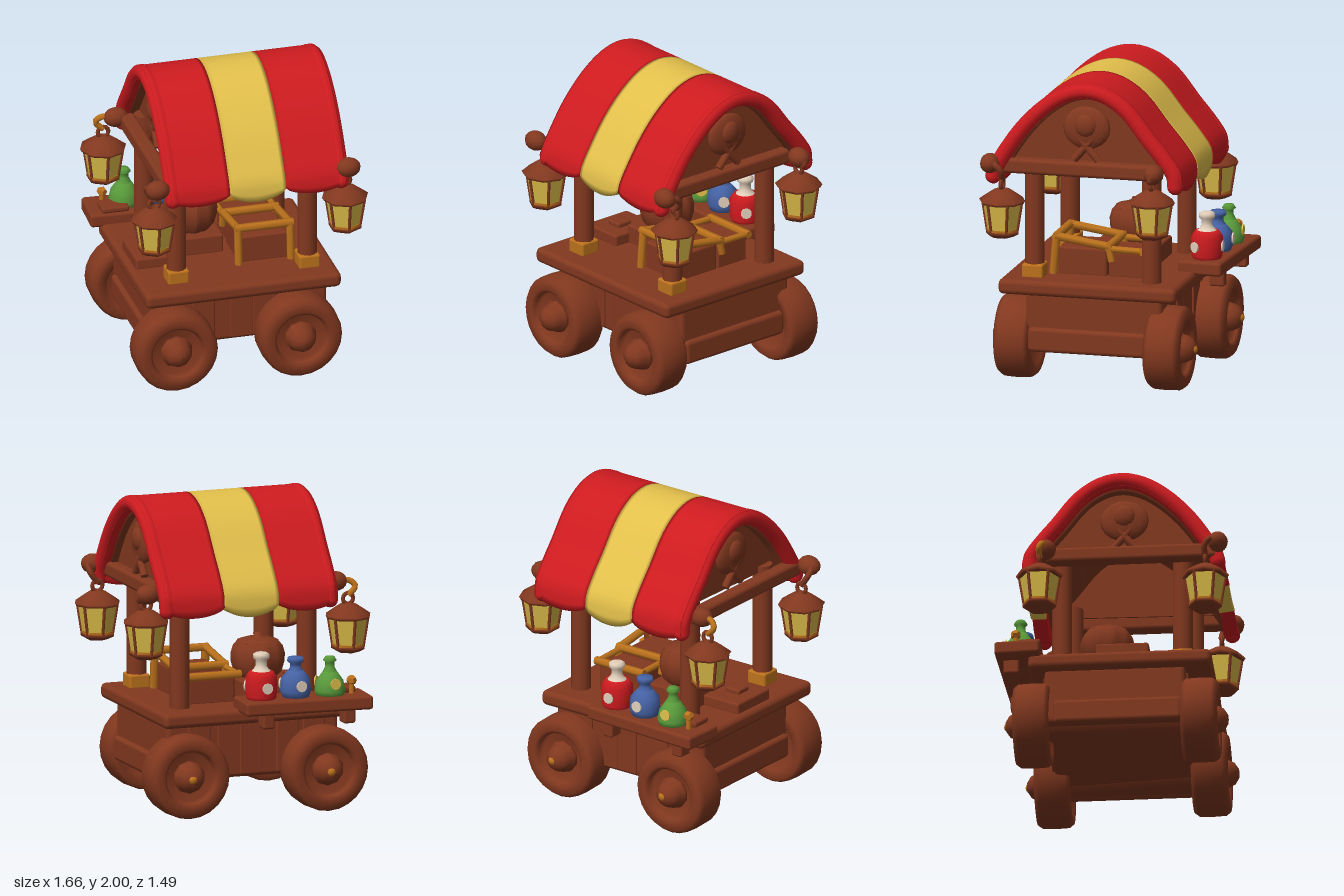
import * as THREE from 'three';
import { RoundedBoxGeometry } from 'three/addons/geometries/RoundedBoxGeometry.js';

const mat = (name, color) => {
  const m = new THREE.MeshStandardMaterial({ color });
  m.name = name;
  return m;
};

export function createModel() {
  const root = new THREE.Group();
  const wood = mat('brown wood', 0x82381f);
  const gold = mat('gold trim', 0xbc721c);
  const red = mat('red cloth', 0xcd1b1f);
  const yellow = mat('yellow cloth', 0xe2bf4b);
  const glow = mat('lantern glass', 0xdabb48);
  const cream = mat('cream', 0xe2cfba);
  const blue = mat('blue glass', 0x4562a4);
  const green = mat('green glass', 0x58993a);

  // Helpers
  const add = (name, geo, m, x = 0, y = 0, z = 0, parent = root) => {
    const mesh = new THREE.Mesh(geo, m);
    mesh.name = name;
    mesh.position.set(x, y, z);
    parent.add(mesh);
    return mesh;
  };
  const box = (name, m, [x0, x1], [y0, y1], [z0, z1], r = 0.015) =>
    add(name, new RoundedBoxGeometry(x1 - x0, y1 - y0, z1 - z0, 2, r), m, (x0 + x1) / 2, (y0 + y1) / 2, (z0 + z1) / 2);
  const lathe = (pts, seg = 20) =>
    new THREE.LatheGeometry(pts.map(([r, y]) => new THREE.Vector2(r, y)), seg);
  const rod = (name, m, a, b, r, parent = root, seg = 8) => {
    const A = new THREE.Vector3(...a), d = new THREE.Vector3(...b).sub(A);
    const mesh = add(name, new THREE.CylinderGeometry(r, r, d.length(), seg), m, 0, 0, 0, parent);
    mesh.position.copy(A).addScaledVector(d, 0.5);
    mesh.quaternion.setFromUnitVectors(new THREE.Vector3(0, 1, 0), d.normalize());
    return mesh;
  };

  // Cart body with plank seams and lower rails
  box('body', wood, [-0.62, 0.55], [0.23, 0.61], [-0.44, 0.46], 0.03);
  for (const x of [-0.45, -0.27, -0.02, 0.13, 0.33]) {
    for (const z of [-0.44, 0.46]) box('sidePlank', wood, [x - 0.075, x + 0.075], [0.25, 0.6], [z - 0.012, z + 0.012], 0.008);
  }
  for (const x of [-0.62, 0.55]) box('endRail', wood, [x - 0.03, x + 0.03], [0.22, 0.38], [-0.38, 0.44], 0.028);
  box('deck', wood, [-0.69, 0.6], [0.59, 0.69], [-0.54, 0.63], 0.035);

  // Wheels with dished faces and domed hubs
  const wheelGeo = lathe([[0, -0.06], [0.16, -0.06], [0.18, -0.11], [0.245, -0.115], [0.268, -0.085],
    [0.272, 0], [0.268, 0.085], [0.245, 0.115], [0.19, 0.12], [0.168, 0.1], [0.16, 0.055], [0, 0.05]], 24);
  const hubGeo = lathe([[0, 0.03], [0.105, 0.04], [0.105, 0.075], [0.092, 0.08], [0.09, 0.11], [0.07, 0.15], [0.03, 0.175], [0, 0.178]], 10);
  for (const [x, z] of [[-0.49, 0.55], [0.33, 0.55], [0.43, -0.46], [-0.49, -0.52]]) {
    const wheel = new THREE.Group();
    wheel.name = 'wheel';
    wheel.position.set(x, 0.272, z);
    wheel.rotation.x = z > 0 ? Math.PI / 2 : -Math.PI / 2;
    root.add(wheel);
    add('tyre', wheelGeo, wood, 0, 0, 0, wheel);
    add('hub', hubGeo, wood, 0, 0, 0, wheel);
    if (z < 0) add('hubCap', new THREE.SphereGeometry(0.033, 10, 6), gold, 0.01, 0.155, 0, wheel);
  }
  rod('axle', wood, [-0.49, 0.27, -0.5], [-0.49, 0.27, 0.5], 0.08, root, 12);
  rod('axle', wood, [0.43, 0.27, -0.45], [0.33, 0.27, 0.5], 0.08, root, 12);

  // Posts, with gold sockets at the front
  for (const x of [-0.44, 0.425]) {
    for (const z of [-0.34, 0.43]) {
      rod('post', wood, [x, 0.66, z], [x, 1.5, z], 0.064, root, 12);
      if (z > 0) box('postSocket', gold, [x - 0.07, x + 0.07], [0.68, 0.775], [z - 0.07, z + 0.07]);
    }
  }

  // Canopy: an arched section swept along x, its hems dropping in scallops
  const arch = (drop = 0) => new THREE.CatmullRomCurve3([
    [0.705, 1.375 - drop], [0.69, 1.43], [0.62, 1.55], [0.5, 1.72], [0.35, 1.87], [0.2, 1.965], [0.05, 2],
    [-0.1, 1.97], [-0.25, 1.87], [-0.4, 1.685], [-0.5, 1.565], [-0.575, 1.45], [-0.585, 1.365 - drop],
  ].map(([z, y]) => new THREE.Vector3(0, y, z))).getPoints(36);
  // Moves a path inward by d
  const offset = (pts, d) => pts.map((p, i) => {
    const t = pts[Math.min(i + 1, pts.length - 1)].clone().sub(pts[Math.max(i - 1, 0)]).normalize();
    return new THREE.Vector3(0, p.y + t.z * d, p.z - t.y * d);
  });
  const sweep = (x0, x1, steps, d0, d1, scallop, trim = 0) => {
    const pos = [], idx = [];
    let n = 0;
    for (let j = 0; j <= steps; j++) {
      const s = j / steps;
      const base = arch(scallop * Math.max(0, Math.sin(Math.PI * s)) ** 0.6);
      const cut = (d) => offset(base, d).slice(trim, base.length - trim);
      const ring = [...cut(d0), ...cut(d1).reverse()];
      n = ring.length;
      for (const p of ring) pos.push(x0 + (x1 - x0) * s, p.y, p.z);
    }
    for (let j = 0; j < steps; j++) {
      for (let i = 0; i < n; i++) {
        const a = j * n + i, b = j * n + (i + 1) % n;
        idx.push(a, a + n, b, b, a + n, b + n);
      }
    }
    for (let i = 0; i < n / 2 - 1; i++) {
      const e = steps * n, q = i + 1, k = n - 1 - i, l = n - 2 - i;
      idx.push(i, q, k, q, l, k, e + i, e + k, e + q, e + q, e + k, e + l);
    }
    const g = new THREE.BufferGeometry();
    g.setAttribute('position', new THREE.Float32BufferAttribute(pos, 3));
    g.setIndex(idx);
    g.computeVertexNormals();
    return g;
  };
  add('canopyRight', sweep(-0.55, -0.16, 16, 0, 0.09, 0.055), red);
  add('canopyMiddle', sweep(-0.16, 0.21, 16, 0, 0.09, 0.07), yellow);
  add('canopyLeft', sweep(0.21, 0.61, 16, 0, 0.09, 0.055), red);
  add('canopyLining', sweep(-0.5, 0.55, 1, 0.08, 0.11, 0, 3), wood);
  for (const x of [-0.525, 0.585]) {
    const path = new THREE.CatmullRomCurve3(offset(arch(), 0.046));
    add('canopyRim', new THREE.TubeGeometry(path, 40, 0.052, 10), red, x);
    for (const t of [0, 1]) add('rimEnd', new THREE.SphereGeometry(0.052, 10, 8), red, x, path.getPoint(t).y, path.getPoint(t).z);
  }

  // Gables with a round plaque over crossed ribbons, and the beams below
  const inner = offset(arch(), 0.1).filter((p) => p.y > 1.44);
  const gableGeo = new THREE.ExtrudeGeometry(
    new THREE.Shape(inner.map((p) => new THREE.Vector2(p.z, p.y))), { depth: 0.04, bevelEnabled: false });
  gableGeo.translate(0, 0, -0.02);
  for (const s of [-1, 1]) {
    const gx = 0.03 + s * 0.46;
    add('gable', gableGeo, wood, gx).rotation.y = -Math.PI / 2;
    const px = gx + s * 0.035;
    add('plaque', new THREE.SphereGeometry(0.155, 16, 10), wood, px, 1.7, 0.06).scale.set(0.3, 0.9, 1);
    add('plaqueBoss', new THREE.SphereGeometry(0.075, 12, 8), wood, px + s * 0.03, 1.72, 0.06).scale.x = 0.5;
    for (const k of [-1, 1]) rod('ribbon', wood, [px + s * 0.015, 1.64, 0.06 - k * 0.05], [px + s * 0.015, 1.49, 0.06 + k * 0.08], 0.025);
    box('sideBeam', wood, [s * 0.53 - 0.05, s * 0.53 + 0.05], [1.38, 1.48], [-0.43, 0.66], 0.025);
  }

  // Corner knobs and hanging lanterns
  const lantern = (x, y, z) => {
    const g = new THREE.Group();
    g.name = 'lantern';
    g.position.set(x, y, z);
    root.add(g);
    add('glass', new THREE.CylinderGeometry(0.13, 0.098, 0.2, 6).toNonIndexed(), glow, 0, 0.13, 0, g).geometry.computeVertexNormals();
    add('lanternBase', lathe([[0, 0], [0.07, 0], [0.108, 0.02], [0.108, 0.04], [0, 0.045]], 6), wood, 0, 0, 0, g);
    add('goldBand', new THREE.CylinderGeometry(0.108, 0.108, 0.014, 6), gold, 0, 0.047, 0, g);
    add('lanternRoof', lathe([[0, 0.215], [0.14, 0.22], [0.152, 0.24], [0.095, 0.28], [0.05, 0.31], [0, 0.32]], 8), wood, 0, 0, 0, g);
    for (let i = 0; i < 6; i++) {
      const c = Math.cos(i * Math.PI / 3 + Math.PI / 6), q = Math.sin(i * Math.PI / 3 + Math.PI / 6);
      rod('lanternBar', wood, [c * 0.097, 0.03, q * 0.097], [c * 0.129, 0.23, q * 0.129], 0.01, g, 6);
    }
    add('lanternRing', new THREE.TorusGeometry(0.035, 0.014, 6, 12), wood, 0, 0.345, 0, g);
  };
  for (const [x, y, z, kx, kz] of [[-0.63, 0.98, 0.59, -0.63, 0.67], [0.63, 0.98, 0.59, 0.63, 0.67],
    [-0.675, 1.0, -0.465, -0.6, -0.43], [0.68, 1.04, -0.41, 0.67, -0.42]]) {
    lantern(x, y, z);
    add('knob', new THREE.SphereGeometry(0.064, 12, 8), wood, kx, 1.455, kz).scale.x = 1.25;
    const hook = new THREE.CatmullRomCurve3([[kx * 0.9, 1.44, kz], [(kx + x) / 2 + Math.sign(x) * 0.05, 1.46, (kz + z) / 2],
      [x + Math.sign(x) * 0.05, 1.42, z], [x, y + 0.365, z]].map((p) => new THREE.Vector3(...p)));
    add('hook', new THREE.TubeGeometry(hook, 14, 0.02, 7), x < 0 && z < 0 ? gold : wood);
  }

  // Back shelf on brackets
  box('shelf', wood, [-0.75, 0.1], [0.67, 0.76], [-0.73, -0.44], 0.02).rotation.y = -0.05;
  for (const x of [-0.6, -0.05]) box('shelfBracket', wood, [x - 0.04, x + 0.04], [0.58, 0.69], [-0.7, -0.6]);
  box('shelfTray', wood, [-0.68, -0.5], [0.76, 0.8], [-0.6, -0.46]);
  add('goldKnob', new THREE.DodecahedronGeometry(0.034), gold, -0.64, 0.845, -0.62);
  rod('goldKnobStem', gold, [-0.64, 0.76, -0.62], [-0.64, 0.84, -0.62], 0.018);

  // Bottles with round labels
  const bottle = (x, z, m, neck, body, top, r, labelTint) => {
    const g = new THREE.Group();
    g.name = 'bottle';
    g.position.set(x, 0.75, z);
    root.add(g);
    add('bottleBody', lathe(body, 18), m, 0, 0, 0, g);
    add('bottleNeck', lathe(top, 12), neck, 0, 0, 0, g);
    for (const a of [0.93, 3.2]) {
      const dot = add('label', new THREE.CylinderGeometry(0.036, 0.036, 0.009, 10), labelTint, Math.sin(a) * r, 0.09, Math.cos(a) * r, g);
      dot.rotation.set(Math.PI / 2, 0, -a);
    }
  };
  bottle(-0.04, -0.58, red, cream, [[0, 0], [0.085, 0], [0.1, 0.03], [0.102, 0.15], [0.075, 0.19], [0, 0.195]],
    [[0.078, 0.178], [0.05, 0.2], [0.036, 0.225], [0.036, 0.26], [0.052, 0.275], [0.052, 0.3], [0.035, 0.31], [0, 0.31]], 0.102, cream);
  bottle(-0.27, -0.59, blue, blue, [[0, 0], [0.08, 0], [0.1, 0.05], [0.092, 0.13], [0.05, 0.18], [0, 0.185]],
    [[0.055, 0.17], [0.035, 0.2], [0.036, 0.225], [0.055, 0.24], [0.05, 0.265], [0, 0.268]], 0.099, cream);
  bottle(-0.5, -0.6, green, green, [[0, 0], [0.09, 0], [0.1, 0.04], [0.087, 0.1], [0.045, 0.16], [0, 0.17]],
    [[0.05, 0.15], [0.03, 0.19], [0.03, 0.22], [0.045, 0.232], [0.03, 0.255], [0, 0.258]], 0.092, yellow);

  // Ribbed pot with lid on a low crate
  box('potCrate', wood, [-0.38, -0.04], [0.68, 0.81], [-0.26, 0.12]);
  const potGeo = lathe([[0, 0], [0.12, 0], [0.155, 0.04], [0.172, 0.1], [0.174, 0.15], [0.16, 0.2], [0.13, 0.235], [0, 0.24]], 40);
  const p = potGeo.attributes.position;
  for (let i = 0; i < p.count; i++) {
    const k = 1 - 0.06 * Math.abs(Math.cos(Math.atan2(p.getZ(i), p.getX(i)) * 5)) ** 6;
    p.setXYZ(i, p.getX(i) * k, p.getY(i), p.getZ(i) * k);
  }
  potGeo.computeVertexNormals();
  add('pot', potGeo, wood, -0.21, 0.8, -0.07);
  add('potLid', lathe([[0, 0], [0.13, 0], [0.135, 0.025], [0.07, 0.045], [0.025, 0.05], [0.03, 0.075], [0, 0.08]], 14), wood, -0.21, 1.01, -0.07);

  // Tall display crate with a sloping gold frame, and a lower one behind it
  box('crate', wood, [0.01, 0.335], [0.68, 0.865], [-0.02, 0.3]);
  box('backCrate', wood, [0.02, 0.335], [0.68, 0.85], [-0.27, -0.03]);
  for (const x of [0, 0.345]) {
    rod('frameRail', gold, [x, 0.935, 0.31], [x, 0.885, -0.035], 0.027, root, 6);
    rod('frameLeg', gold, [x, 0.69, 0.33], [x, 0.935, 0.31], 0.027, root, 6);
    rod('frameEnd', gold, [x, 0.885, -0.035], [x, 0.79, -0.055], 0.025, root, 6);
    rod('backRail', gold, [x, 0.87, -0.05], [x, 0.865, -0.27], 0.022, root, 6);
  }
  for (const [y, z] of [[0.935, 0.31], [0.885, -0.035], [0.865, -0.265]]) {
    rod('frameBar', gold, [-0.02, y, z], [0.365, y, z], 0.027, root, 6);
  }

  // Low box with a smaller one on top
  box('lowBox', wood, [-0.65, -0.36], [0.68, 0.76], [-0.11, 0.23]);
  box('smallBox', wood, [-0.56, -0.45], [0.75, 0.79], [0.02, 0.13]);
  return root;
}
